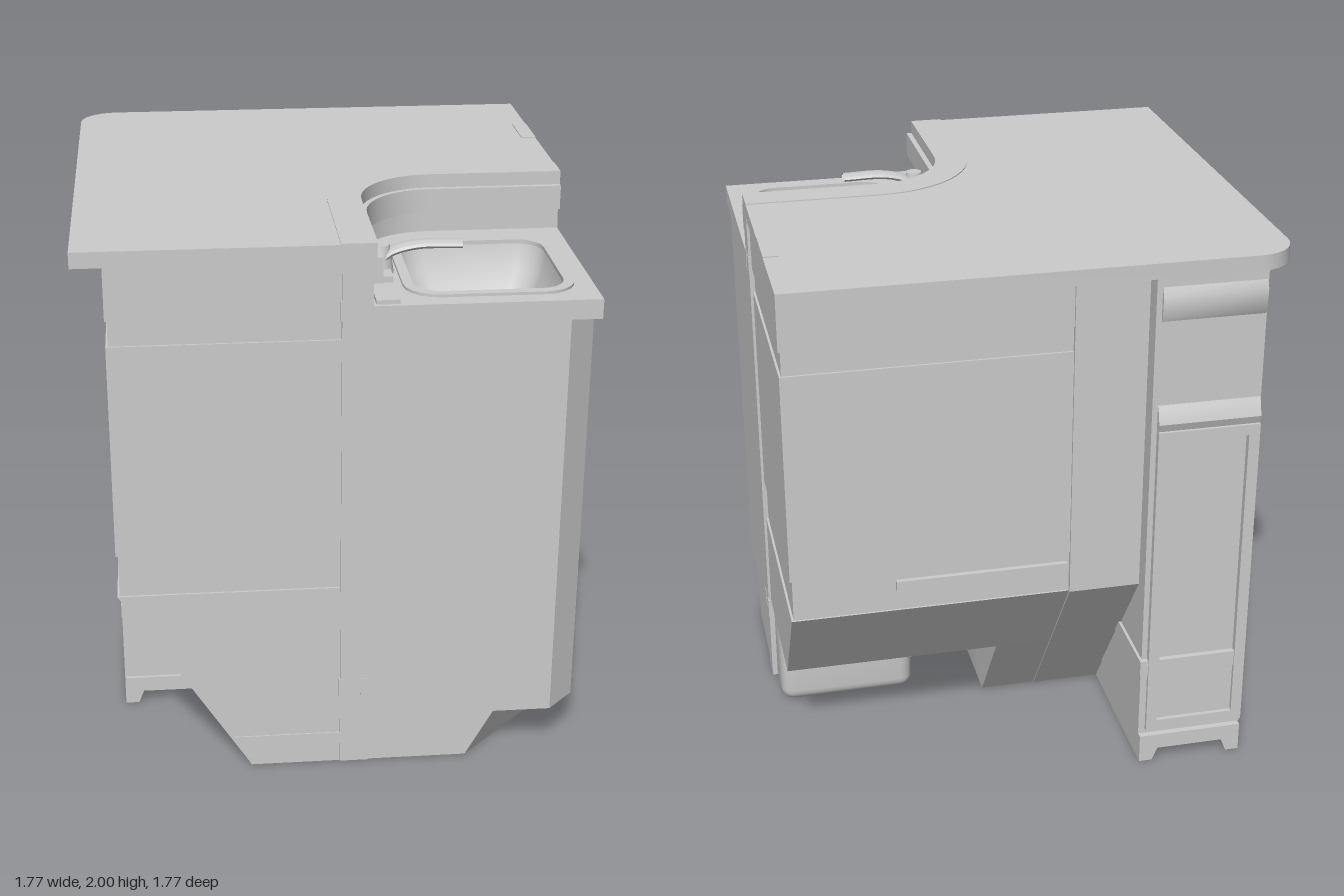
import * as THREE from 'three';
import { toCreasedNormals } from 'three/addons/utils/BufferGeometryUtils.js';
import { RoundedBoxGeometry } from 'three/addons/geometries/RoundedBoxGeometry.js';

const mat = new THREE.MeshStandardMaterial({ color: 0xcccccc, side: THREE.DoubleSide });

export function createModel() {
  const root = new THREE.Group();
  const add = (name, geo) => {
    const m = new THREE.Mesh(toCreasedNormals(geo.index ? geo.toNonIndexed() : geo, 0.6), mat);
    m.name = name;
    root.add(m);
    return m;
  };
  // box from its min and max corners
  const box = (name, x0, x1, y0, y1, z0, z1) =>
    add(name, new THREE.BoxGeometry(x1 - x0, y1 - y0, z1 - z0)
      .translate((x0 + x1) / 2, (y0 + y1) / 2, (z0 + z1) / 2));
  // plan outline of [x, z] points extruded upwards
  const toShape = (pts) => new THREE.Shape(pts.map(([x, z]) => new THREE.Vector2(x, -z)));
  const planGeo = (pts, y0, y1, hole) => {
    const s = toShape(pts);
    if (hole) s.holes.push(toShape(hole));
    return new THREE.ExtrudeGeometry(s, { depth: y1 - y0, bevelEnabled: false })
      .rotateX(-Math.PI / 2).translate(0, y0, 0);
  };
  // side outline of [z, y] points extruded from x0 to x1
  const sideGeo = (pts, x0, x1) =>
    new THREE.ExtrudeGeometry(new THREE.Shape(pts.map((p) => new THREE.Vector2(...p))),
      { depth: x1 - x0, bevelEnabled: false }).rotateY(-Math.PI / 2).translate(x1, 0, 0);
  // moves the vertices on one level by a rule
  const shift = (geo, y, rule) => {
    const p = geo.attributes.position;
    for (let i = 0; i < p.count; i++) {
      if (Math.abs(p.getY(i) - y) > 1e-4) continue;
      const [x, z] = rule(p.getX(i), p.getZ(i));
      p.setX(i, x);
      p.setZ(i, z);
    }
    return geo;
  };
  // quarter bend around the corner unit
  const bend = (r) => Array.from({ length: 13 }, (_, i) => {
    const t = (i / 12) * Math.PI / 2;
    return [0.4 - r * Math.cos(t), 0.4 - r * Math.sin(t)];
  });
  const E = 0.885;
  const wallPath = (r0, r1) => [[0.4 - r0, E], ...bend(r0), [E, 0.4 - r0],
    [E, 0.4 - r1], ...bend(r1).reverse(), [0.4 - r1, E]];
  // rounded rectangle in plan
  const roundRect = (c, h, r) => {
    const pts = [];
    for (let q = 0; q < 4; q++) for (let i = 0; i <= 5; i++) {
      const a = q * Math.PI / 2 + (i / 5) * Math.PI / 2;
      const sx = q === 0 || q === 3 ? 1 : -1, sz = q < 2 ? 1 : -1;
      pts.push([c + sx * (h - r) + r * Math.cos(a), c + sz * (h - r) + r * Math.sin(a)]);
    }
    return pts;
  };

  // L-shaped worktop with one rounded outer corner
  const corner = Array.from({ length: 8 }, (_, i) => {
    const t = (i / 7) * Math.PI / 2;
    return [-E + 0.14 * (1 - Math.sin(t)), -E + 0.14 * (1 - Math.cos(t))];
  }).reverse();
  add('worktop', planGeo([[-E, E], ...corner, [E, -E], [E, 0], ...bend(0.39).reverse(), [0, E]], 1.94, 1.996));
  box('worktopPlate', 0.83, E, 1.98, 2, -0.55, -0.35);

  // L-shaped cabinet, built in bands with two shallow recesses
  const outline = (o, f) => [[-o, f], [-o, -o], [f, -o], [f, 0.02], ...bend(0.38).reverse(), [0.02, f]];
  for (const [y0, y1, inset] of [[1.75, 1.945, 0], [1.66, 1.75, 0.008], [0.88, 1.66, 0], [0.72, 0.88, 0.008]])
    add('cabinetBand', planGeo(outline(0.78 - inset, 0.875 - inset), y0, y1));
  // tapering underside
  add('cabinetTaper', shift(planGeo(outline(0.78, 0.875), 0.35, 0.72), 0.35,
    (x, z) => [x < -0.7 ? -0.54 : x, z < -0.7 ? -0.52 : z]));
  add('cabinetKeel', shift(planGeo([[-0.54, 0.875], [-0.54, -0.52], [0.08, -0.52], [0.08, 0.2], [0.02, 0.4], [0.02, 0.875]], 0, 0.35), 0,
    (x, z) => [x < -0.5 ? -0.32 : x, z < -0.5 ? -0.27 : z]));
  add('kickPlate', shift(planGeo([[-0.38, 0.88], [-0.38, 0.3], [0.02, 0.3], [0.02, 0.88]], 0, 0.12), 0,
    (x, z) => [x < -0.3 ? -0.32 : x, z]));
  add('backRib', sideGeo([[-0.79, 1.94], [-0.79, 0.72], [-0.275, 0], [-0.1, 0], [-0.1, 0.5], [-0.6, 1.94]], -0.42, -0.13));
  box('backRail', -0.12, 0.5, 0.8, 0.84, -0.79, -0.76);
  add('sideFoot', new RoundedBoxGeometry(0.52, 0.4, 0.21, 3, 0.05).translate(0.61, 0.2, -0.105));

  // tall narrow unit at the back corner
  box('sideUnit', -0.77, -0.39, 0.12, 1.94, -0.86, 0.42);
  box('sideUnitBase', -0.78, -0.385, 0.12, 0.38, -0.87, 0.425);
  box('sideUnitBand', -0.782, -0.38, 0.38, 0.44, -0.88, 0.43);
  const frame = (w, h, t, d) => {
    const r = (a, b) => [[-a, -b], [a, -b], [a, b], [-a, b]].map((p) => new THREE.Vector2(...p));
    const s = new THREE.Shape(r(w / 2, h / 2));
    s.holes.push(new THREE.Path(r(w / 2 - t, h / 2 - t)));
    return new THREE.ExtrudeGeometry(s, { depth: d, bevelEnabled: false });
  };
  add('sidePanelFrame', frame(1.28, 1.49, 0.05, 0.015).rotateY(-Math.PI / 2).translate(-0.768, 1.185, -0.22));
  add('postFrame', frame(0.37, 1.23, 0.04, 0.03).translate(-0.595, 0.755, -0.885));
  add('postBracket', sideGeo([[-0.78, 1.35], [-0.87, 1.36], [-0.885, 1.4], [-0.87, 1.45], [-0.83, 1.51], [-0.82, 1.72],
    [-0.87, 1.79], [-0.875, 1.87], [-0.85, 1.92], [-0.7, 1.93], [-0.7, 1.35]], -0.78, -0.41));
  const rail = new THREE.Shape([[-0.78, 0], [-0.73, 0], [-0.71, 0.05], [-0.46, 0.05], [-0.44, 0], [-0.39, 0],
    [-0.39, 0.11], [-0.78, 0.11]].map((p) => new THREE.Vector2(...p)));
  add('sideUnitFoot', new THREE.ExtrudeGeometry(rail, { depth: 1.3, bevelEnabled: false }).translate(0, 0, -0.88));
  box('footSpacer', -0.76, -0.41, 0.1, 0.13, -0.85, 0.4);

  // curved dividing wall with its moulding
  add('dividingWall', planGeo(wallPath(0.395, 0.29), 0, 1.95));
  add('wallCap', planGeo(wallPath(0.4, 0.28), 1.95, 2));
  add('wallMoulding', planGeo(wallPath(0.3, 0.26), 1.86, 1.95));
  for (const y of [0.28, 1.73]) for (const a of [0, 0.08]) {
    box('wallClip', a, a + 0.03, y, y + 0.07, 0.86, 0.887);
    box('wallClip', 0.86, 0.887, y, y + 0.07, a, a + 0.03);
  }

  // corner washstand: chamfered body, square slab and sunken bowl
  const body = [[0.11, 0.88], [0.11, 0.11], [0.88, 0.11], [0.88, 0.78], [0.78, 0.88]];
  const hole = roundRect(0.525, 0.275, 0.1);
  add('washstandBody', planGeo(body, 0.18, 1.56));
  add('washstandUpper', planGeo(body, 1.56, 1.72, hole));
  add('washstandSlab', planGeo([[0.11, E], [0.11, 0.11], [E, 0.11], [E, E]], 1.71, 1.78, hole));
  add('bowlRim', planGeo(roundRect(0.525, 0.295, 0.12), 1.775, 1.79, roundRect(0.525, 0.26, 0.09)));
  const rings = [[0.27, 1.785], [0.25, 1.68], [0.2, 1.6], [0.1, 1.575]].map(([h, y]) =>
    roundRect(0.525, h, h * 0.4).map(([x, z]) => [x, y, z]));
  const pos = [], n = rings[0].length;
  for (let k = 0; k < rings.length - 1; k++) for (let i = 0; i < n; i++) {
    const j = (i + 1) % n, [a, b, c, d] = [rings[k][i], rings[k][j], rings[k + 1][j], rings[k + 1][i]];
    pos.push(...a, ...b, ...c, ...a, ...c, ...d);
  }
  const bowl = new THREE.BufferGeometry();
  bowl.setAttribute('position', new THREE.Float32BufferAttribute(pos, 3));
  add('bowl', bowl);
  box('bowlFloor', 0.42, 0.63, 1.565, 1.577, 0.42, 0.63);
  add('washstandBase', shift(planGeo([[0.1, 0.88], [0.1, 0.1], [0.88, 0.1], [0.88, 0.57], [0.57, 0.88]], 0, 0.18), 0,
    (x, z) => [Math.abs(x - 0.57) < 0.01 ? 0.47 : x, Math.abs(z - 0.57) < 0.01 ? 0.47 : z]));

  // tap and soap plate
  box('tapBase', 0.13, 0.2, 1.78, 1.81, 0.45, 0.68);
  add('tapStem', new THREE.CylinderGeometry(0.03, 0.045, 0.1, 16).translate(0.17, 1.84, 0.57));
  const spout = new THREE.CatmullRomCurve3([[0.16, 1.82], [0.2, 1.86], [0.29, 1.885], [0.45, 1.885]]
    .map(([x, y]) => new THREE.Vector3(x, y, 0)));
  add('tapSpout', new THREE.TubeGeometry(spout, 16, 0.015, 10).scale(1, 1, 2.4).translate(0, 0, 0.57));
  box('soapPlate', 0.12, 0.2, 1.78, 1.795, 0.7, 0.87);

  return root;
}
